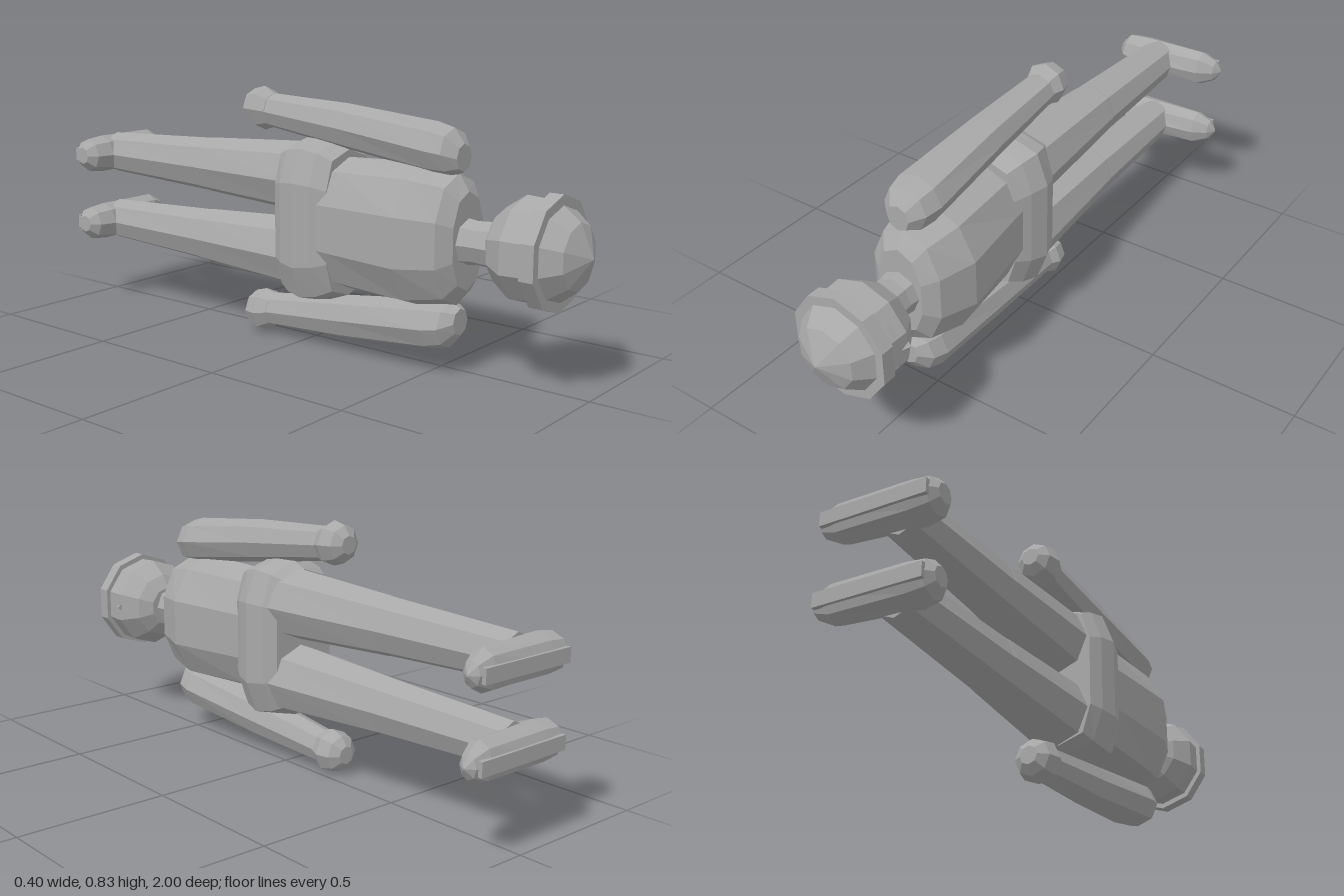
import * as THREE from 'three';

const CY = 0.417; // height of the body axis
const grey = new THREE.MeshStandardMaterial({ color: 0xa8a8a8, flatShading: true });
grey.name = 'grey';

// Closed loft along z. Sections: [z, centreX, centreY, radiusX, radiusY], z increasing.
// power below 1 makes the cross-section boxier.
function loft(name, sections, sides = 8, power = 1) {
  const bend = (v) => Math.sign(v) * Math.pow(Math.abs(v), power);
  const rings = sections.map(([z, cx, cy, rx, ry]) =>
    Array.from({ length: sides }, (_, j) => {
      const a = Math.PI / 2 + (j / sides) * Math.PI * 2;
      return [cx + rx * bend(Math.cos(a)), cy + ry * bend(Math.sin(a)), z];
    }));
  const pos = [];
  const last = rings.length - 1;
  const centre = (s) => [s[1], s[2], s[0]];
  for (let j = 0; j < sides; j++) {
    const k = (j + 1) % sides;
    for (let i = 0; i < last; i++) {
      const [a, b, c, d] = [rings[i][j], rings[i][k], rings[i + 1][k], rings[i + 1][j]];
      pos.push(...a, ...b, ...c, ...a, ...c, ...d);
    }
    pos.push(...centre(sections[0]), ...rings[0][k], ...rings[0][j]);
    pos.push(...centre(sections[last]), ...rings[last][j], ...rings[last][k]);
  }
  const geo = new THREE.BufferGeometry();
  geo.setAttribute('position', new THREE.Float32BufferAttribute(pos, 3));
  geo.computeVertexNormals();
  const mesh = new THREE.Mesh(geo, grey);
  mesh.name = name;
  return mesh;
}

function addHead(parent) {
  const head = new THREE.Group();
  head.name = 'head';
  head.add(loft('skull', [
    [0.69, -0.01, CY, 0.07, 0.07],
    [0.72, -0.01, CY, 0.115, 0.115],
    [0.785, -0.01, CY, 0.158, 0.158],
    [0.885, -0.01, CY, 0.152, 0.152],
    [0.955, -0.01, CY, 0.1, 0.1],
    [0.998, -0.01, CY, 0.001, 0.001],
  ], 10));
  head.add(loft('headBand', [
    [0.855, -0.01, CY, 0.169, 0.172],
    [0.9, -0.01, CY, 0.169, 0.172],
  ], 10));
  // Small face details
  for (const s of [-1, 1]) {
    const eye = new THREE.Mesh(new THREE.BoxGeometry(0.008, 0.045, 0.02), grey);
    eye.name = s > 0 ? 'upperEye' : 'lowerEye';
    eye.position.set(0.118, CY + s * 0.07, 0.825);
    eye.rotation.z = s * Math.PI / 5;
    head.add(eye);
  }
  const nose = new THREE.Mesh(new THREE.ConeGeometry(0.012, 0.03, 4), grey);
  nose.name = 'nose';
  nose.rotation.x = Math.PI / 2;
  nose.position.set(0.14, CY, 0.795);
  head.add(nose);
  parent.add(head);
}

// side: +1 for the upper limb, -1 for the lower one
function addArm(parent, side) {
  const y = (d) => CY + side * d;
  const arm = new THREE.Group();
  arm.name = side > 0 ? 'upperArm' : 'lowerArm';
  arm.add(loft('sleeve', [
    [-0.16, -0.05, y(0.338), 0.055, 0.055],
    [0.17, -0.045, y(0.307), 0.07, 0.072],
    [0.5, -0.04, y(0.27), 0.09, 0.078],
    [0.555, -0.04, y(0.262), 0.078, 0.072],
    [0.59, -0.04, y(0.248), 0.04, 0.042],
  ]));
  arm.add(loft('hand', [
    [-0.243, -0.052, y(0.343), 0.03, 0.03],
    [-0.22, -0.052, y(0.343), 0.06, 0.06],
    [-0.175, -0.052, y(0.342), 0.072, 0.072],
    [-0.135, -0.052, y(0.337), 0.055, 0.055],
  ]));
  parent.add(arm);
}

function addLeg(parent, side) {
  const cy = CY + side * 0.126;
  const leg = new THREE.Group();
  leg.name = side > 0 ? 'upperLeg' : 'lowerLeg';
  leg.add(loft('trouserLeg', [
    [-0.925, -0.04, cy, 0.07, 0.072],
    [-0.455, -0.037, cy, 0.088, 0.092],
    [-0.44, -0.037, cy, 0.09, 0.094],
    [0.06, -0.03, cy, 0.125, 0.122],
  ]));
  // Foot, lofted heel to toe and turned to point along +x
  const foot = new THREE.Group();
  foot.name = 'foot';
  foot.position.set(0, cy, -0.935);
  foot.rotation.y = Math.PI / 2;
  foot.add(loft('shoe', [
    [-0.195, 0.005, 0, 0.03, 0.03],
    [-0.17, 0.002, 0, 0.058, 0.058],
    [-0.11, -0.002, 0, 0.067, 0.066],
    [0.13, 0.013, 0, 0.05, 0.064],
    [0.182, 0.022, 0, 0.03, 0.038],
    [0.202, 0.025, 0, 0.004, 0.004],
  ]));
  const sole = new THREE.Mesh(new THREE.BoxGeometry(0.014, 0.045, 0.35), grey);
  sole.name = 'sole';
  sole.position.set(0.058, 0, 0);
  foot.add(sole);
  leg.add(foot);
  parent.add(leg);
}

export function createModel() {
  const model = new THREE.Group();
  model.name = 'lyingFigure';

  model.add(loft('torso', [
    [0.05, -0.045, CY, 0.125, 0.2],
    [0.18, -0.045, CY, 0.138, 0.212],
    [0.45, -0.037, CY, 0.172, 0.222],
    [0.572, -0.035, CY, 0.13, 0.2],
    [0.607, -0.035, CY, 0.085, 0.15],
  ], 10, 0.9));
  model.add(loft('pelvis', [
    [-0.04, -0.045, CY, 0.118, 0.24],
    [0.0, -0.042, CY, 0.145, 0.26],
    [0.06, -0.04, CY, 0.163, 0.272],
    [0.12, -0.042, CY, 0.145, 0.26],
    [0.17, -0.045, CY, 0.118, 0.235],
  ], 10, 0.6));
  model.add(loft('neck', [
    [0.57, -0.035, CY, 0.075, 0.075],
    [0.64, -0.033, CY, 0.066, 0.066],
    [0.73, -0.03, CY, 0.072, 0.072],
  ]));

  addHead(model);
  for (const side of [-1, 1]) {
    addArm(model, side);
    addLeg(model, side);
  }
  return model;
}
